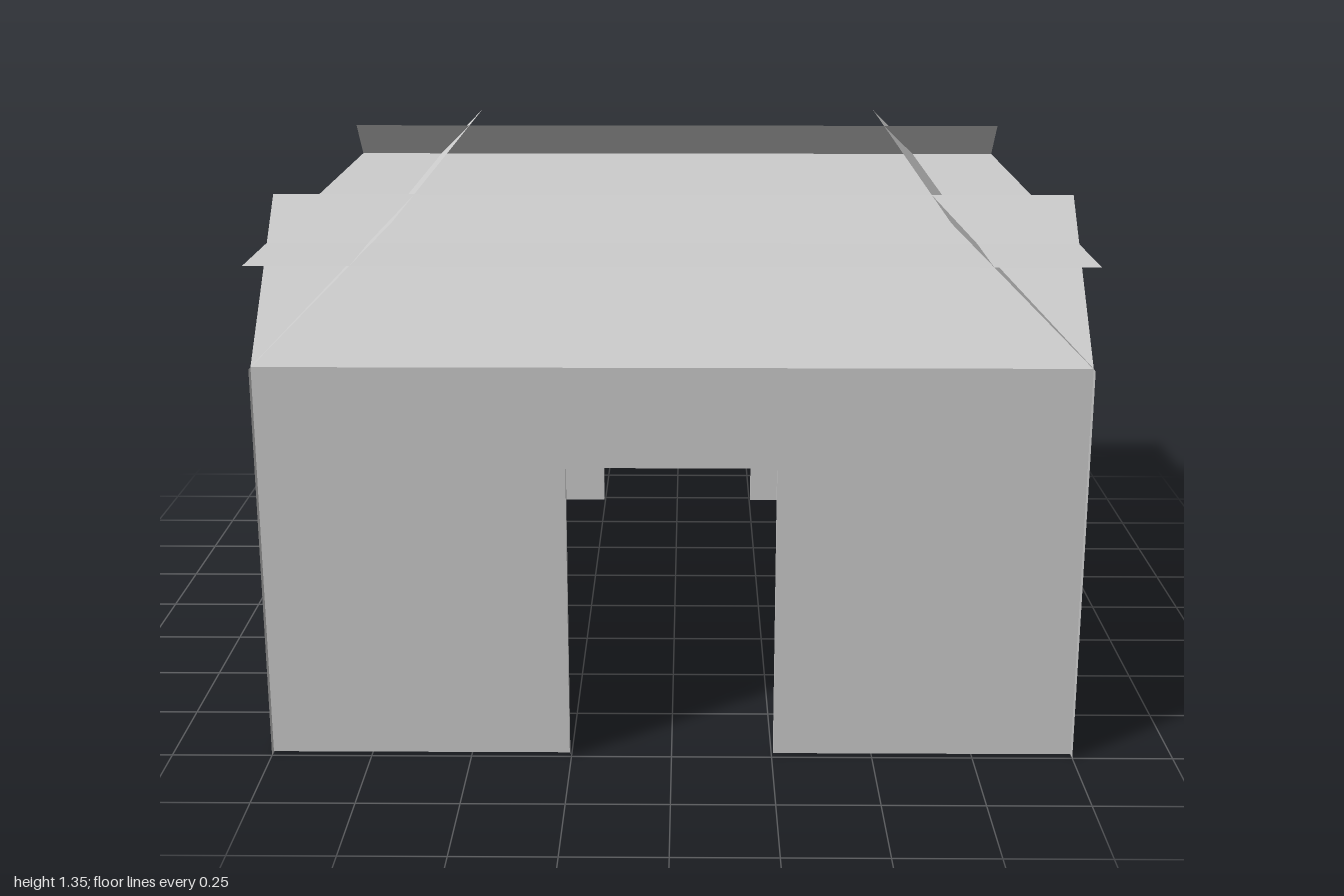
import * as THREE from 'three';

export function createModel() {
  const model = new THREE.Group();
  const plaster = new THREE.MeshStandardMaterial({ color: 0xcccccc, side: THREE.DoubleSide });
  plaster.name = 'plainGrey';

  const inset = 0.977;            // end walls sit just inside the side walls
  const doorHalf = 0.254, doorTop = 0.75;
  const roofY = 1.25, slope = 0.5; // roof panels are 0.5 long at 45 degrees

  const add = (name, geometry) => {
    const mesh = new THREE.Mesh(geometry, plaster);
    mesh.name = name;
    model.add(mesh);
    return mesh;
  };

  // End wall outline with a doorway open to the ground
  const outline = new THREE.Shape([
    [-1, 0], [-doorHalf, 0], [-doorHalf, doorTop], [doorHalf, doorTop],
    [doorHalf, 0], [1, 0], [1, 1], [-1, 1],
  ].map(([x, y]) => new THREE.Vector2(x, y)));

  for (const s of [1, -1]) {
    const end = s > 0 ? 'front' : 'back';
    const side = s > 0 ? 'left' : 'right';
    const facing = s > 0 ? 0 : Math.PI;

    // Walls
    const endWall = add(end + 'Wall', new THREE.ShapeGeometry(outline));
    endWall.rotation.y = facing;
    endWall.position.z = s * inset;
    const sideWall = add(side + 'Wall', new THREE.PlaneGeometry(2, 1));
    sideWall.rotation.y = s * Math.PI / 2;
    sideWall.position.set(s, 0.5, 0);

    // Narrow returns at the door edges
    for (const x of [-doorHalf, doorHalf]) {
      const jamb = add(end + 'DoorJamb', new THREE.PlaneGeometry(1 - inset, doorTop));
      jamb.rotation.y = Math.PI / 2;
      jamb.position.set(x, doorTop / 2, s * (1 + inset) / 2);
    }

    // Sloping panels, full width, crossing each other and the flat roof
    const panel = () => new THREE.PlaneGeometry(2, slope)
      .translate(0, slope / 2, 0).rotateX(-Math.PI / 4);
    const endPanel = add(end + 'RoofSlope', panel());
    endPanel.rotation.y = facing;
    endPanel.position.set(0, 1, s * inset);
    const sidePanel = add(side + 'RoofSlope', panel());
    sidePanel.rotation.y = s * Math.PI / 2;
    sidePanel.position.set(s, 1, 0);
  }

  // Flat roof
  const roof = add('flatRoof', new THREE.PlaneGeometry(2, 2));
  roof.rotation.x = -Math.PI / 2;
  roof.position.y = roofY;

  return model;
}
